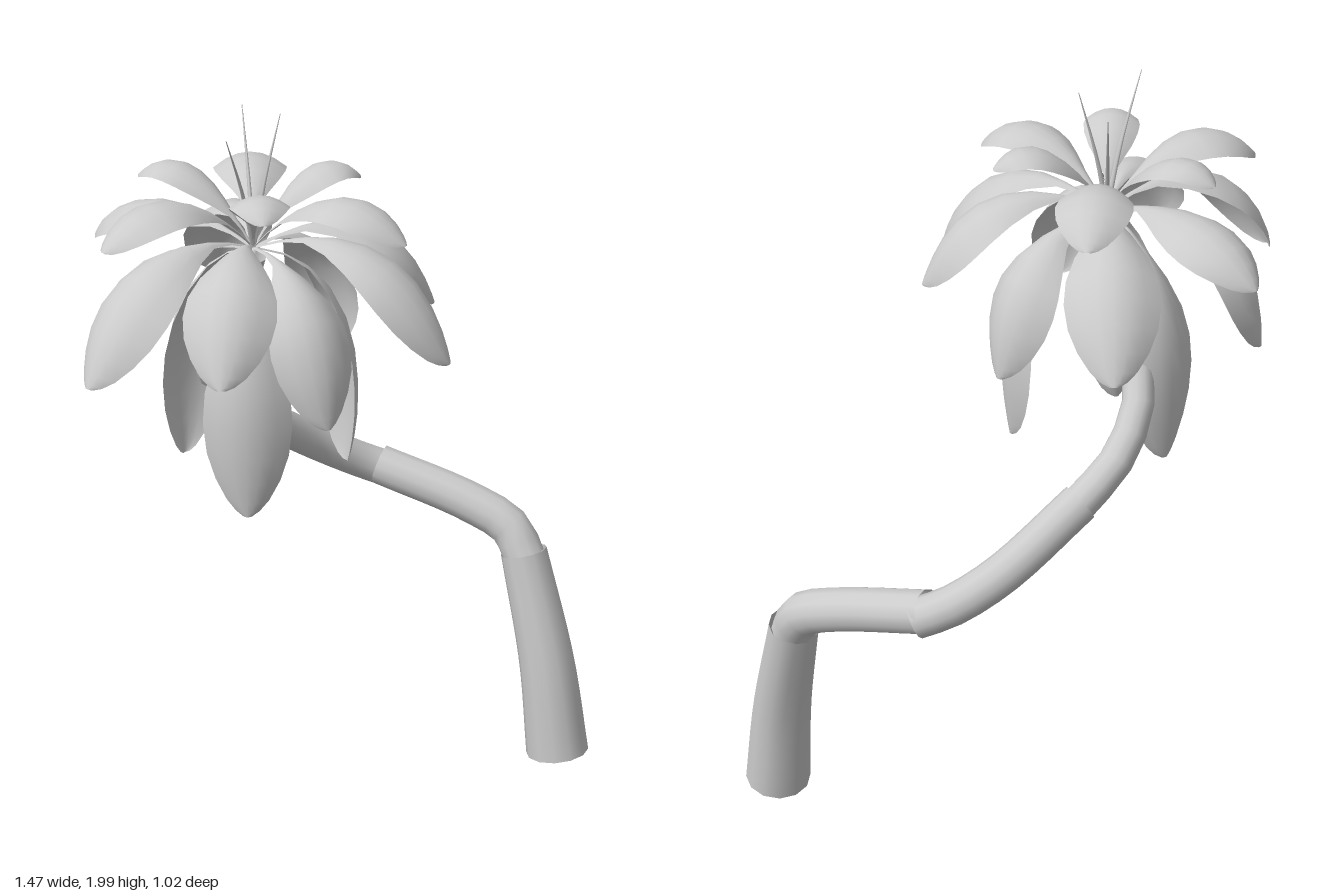
import * as THREE from 'three';

const V = (x, y, z) => new THREE.Vector3(x, y, z);
const material = new THREE.MeshStandardMaterial({ color: 0xcccccc, side: THREE.DoubleSide });
const CROWN = V(-0.2, 1.68, 0);

// Tube along a path whose radius runs from r0 to r1
function taperedTube(points, r0, r1, sides = 12, steps = 10) {
  const curve = new THREE.CatmullRomCurve3(points.map(p => V(...p)));
  const geo = new THREE.TubeGeometry(curve, steps, 1, sides);
  const pos = geo.attributes.position, v = new THREE.Vector3();
  for (let i = 0; i <= steps; i++) {
    const c = curve.getPointAt(i / steps), r = r0 + (r1 - r0) * i / steps;
    for (let j = 0; j <= sides; j++) {
      const k = i * (sides + 1) + j;
      v.fromBufferAttribute(pos, k).sub(c).multiplyScalar(r).add(c);
      pos.setXYZ(k, v.x, v.y, v.z);
    }
  }
  return geo;
}

// Spoon-shaped leaf with drooping edges and a rounded tip, arching out from the crown
const PROFILE = [[0, 0.06], [0.12, 0.07], [0.22, 0.16], [0.33, 0.45], [0.45, 0.76], [0.57, 0.95],
  [0.68, 1], [0.79, 0.92], [0.88, 0.73], [0.95, 0.48], [0.985, 0.27], [1, 0.1]];
function leaf(tip, halfWidth, reach, peak, cup) {
  const end = V(...tip);
  const out = V(end.x - CROWN.x, 0, end.z - CROWN.z);
  const ctrl = CROWN.clone().addScaledVector(out, reach).setY(peak);
  const curve = new THREE.QuadraticBezierCurve3(CROWN, ctrl, end);
  const side = V(-out.z, 0, out.x).normalize();
  const cols = 6, positions = [], index = [];
  PROFILE.forEach(([t, w], i) => {
    const c = curve.getPointAt(t);
    const normal = side.clone().cross(curve.getTangentAt(t));
    for (let j = 0; j <= cols; j++) {
      const s = j / cols * 2 - 1;
      const p = c.clone().addScaledVector(side, s * w * halfWidth)
        .addScaledVector(normal, -s * s * w * cup);
      positions.push(p.x, p.y, p.z);
      if (i && j) {
        const a = i * (cols + 1) + j, b = a - cols - 1;
        index.push(b - 1, b, a - 1, a - 1, b, a);
      }
    }
  });
  const geo = new THREE.BufferGeometry();
  geo.setAttribute('position', new THREE.Float32BufferAttribute(positions, 3));
  geo.setIndex(index);
  geo.computeVertexNormals();
  return geo;
}

export function createModel() {
  const model = new THREE.Group();
  const add = (parent, name, geo) => {
    const mesh = new THREE.Mesh(geo, material);
    mesh.name = name;
    parent.add(mesh);
  };

  // Trunk: overlapping sleeves, each slimmer than the one below
  const trunk = new THREE.Group();
  trunk.name = 'trunk';
  model.add(trunk);
  [
    [[[0.64, 0.022, 0.422], [0.64, 0.3, 0.37], [0.645, 0.62, 0.27]], 0.091, 0.067],
    [[[0.645, 0.6, 0.275], [0.645, 0.68, 0.22], [0.605, 0.74, 0.1], [0.505, 0.82, -0.15]], 0.06, 0.058],
    [[[0.53, 0.8, -0.13], [0.46, 0.84, -0.19], [0.34, 0.915, -0.245], [0.12, 1.06, -0.285]], 0.053, 0.052],
    [[[0.14, 1.045, -0.283], [0, 1.14, -0.285], [-0.1, 1.26, -0.25], [-0.16, 1.4, -0.15],
      [-0.195, 1.54, -0.05], [-0.2, 1.66, 0]], 0.048, 0.033],
  ].forEach(([path, r0, r1], i) => add(trunk, 'trunkSegment' + (i + 1), taperedTube(path, r0, r1)));

  // Leaf tiers: shared arch shape, then [tip, half width] per leaf
  const tiers = [
    { name: 'upperLeaf', reach: 0.6, peak: 1.96, cup: 0.04, leaves: [
      [[-0.63, 1.75, -0.09], 0.095], [[-0.13, 1.75, 0.42], 0.095], [[0.12, 1.75, -0.3], 0.095]] },
    { name: 'topLeaf', reach: 0.6, peak: 1.96, cup: 0.03, leaves: [
      [[-0.27, 1.82, -0.32], 0.073], [[0.08, 1.82, 0.11], 0.073], [[-0.4, 1.82, 0.21], 0.073]] },
    { name: 'middleLeaf', reach: 0.75, peak: 1.84, cup: 0.06, leaves: [
      [[-0.24, 1.62, -0.51], 0.108], [[0.14, 1.45, -0.43], 0.118], [[0.2, 1.49, 0.26], 0.115],
      [[-0.05, 1.45, 0.5], 0.118], [[-0.6, 1.48, 0.25], 0.112], [[-0.735, 1.45, -0.05], 0.12]] },
    { name: 'droopingLeaf', reach: 1, peak: 1.72, cup: 0.06, leaves: [
      [[0.185, 1.33, -0.035], 0.108], [[-0.34, 1.33, 0.36], 0.108], [[-0.46, 1.33, -0.32], 0.112]] },
    { name: 'hangingLeaf', reach: 1.35, peak: 1.6, cup: 0.05, leaves: [
      [[-0.4, 1.06, 0.15], 0.11], [[0.035, 1.06, 0.11], 0.11], [[-0.2, 1.06, -0.25], 0.11]] },
    { name: 'innerLeaf', reach: 2.2, peak: 1.55, cup: 0.04, leaves: [[[-0.185, 1.17, -0.07], 0.085]] },
  ];
  const crown = new THREE.Group();
  crown.name = 'crown';
  model.add(crown);
  for (const { name, reach, peak, cup, leaves } of tiers)
    leaves.forEach(([tip, w], i) => add(crown, name + (i + 1), leaf(tip, w, reach, peak, cup)));

  // Thin unopened shoots at the top
  [[-0.37, 1.99, 0.07], [-0.12, 2, 0.02], [-0.07, 1.985, -0.15]].forEach((tip, i) => {
    const mid = [CROWN.x + (tip[0] - CROWN.x) * 0.4, 1.83, tip[2] * 0.4];
    add(crown, 'shoot' + (i + 1), taperedTube([CROWN.toArray(), mid, tip], 0.008, 0.001, 5, 6));
  });
  return model;
}
